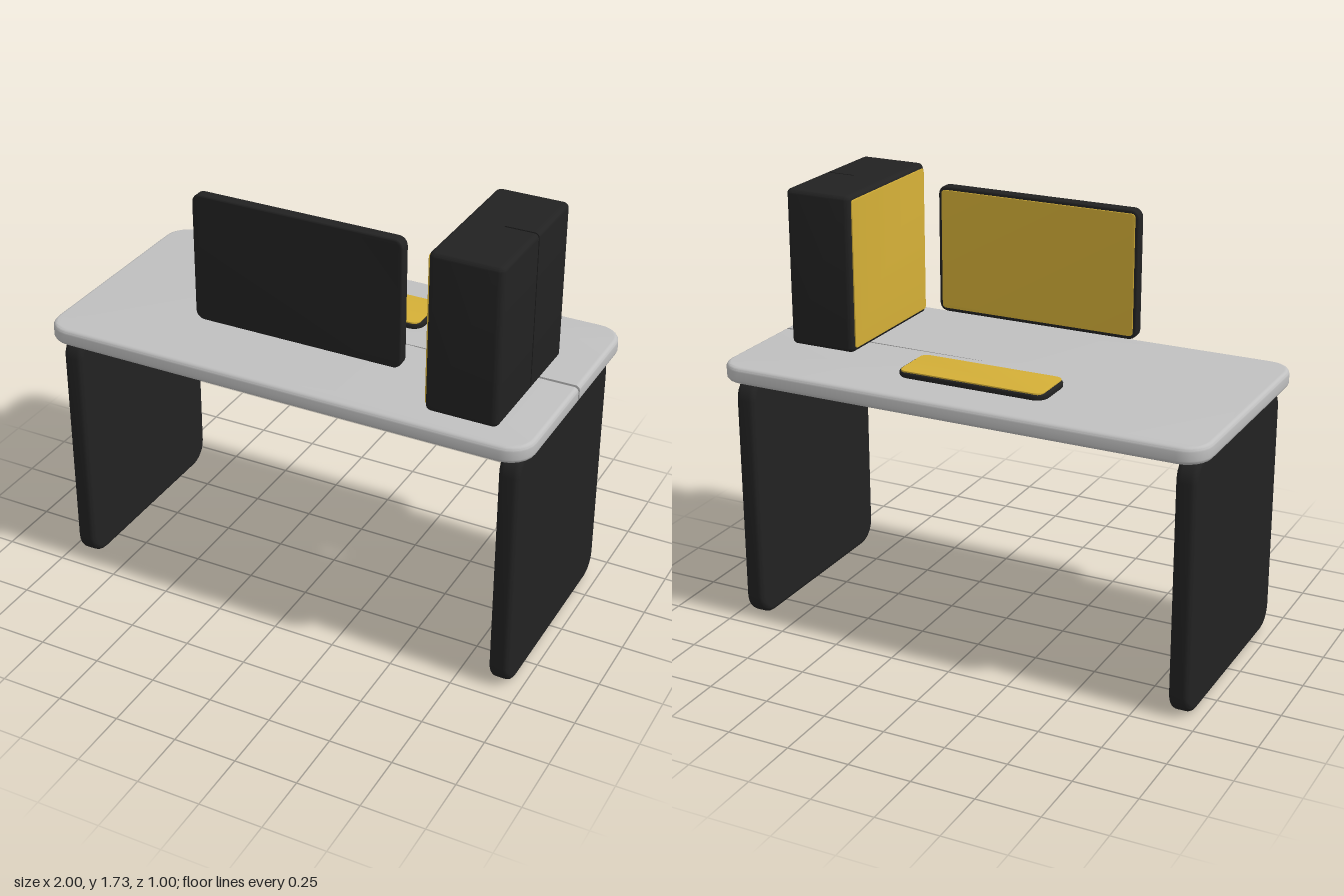
import * as THREE from 'three';
import { toCreasedNormals } from 'three/addons/utils/BufferGeometryUtils.js';

const charcoal = new THREE.MeshStandardMaterial({ color: 0x222222 });
charcoal.name = 'charcoal';
const silver = new THREE.MeshStandardMaterial({ color: 0xc0c0c0 });
silver.name = 'silver';
const gold = new THREE.MeshStandardMaterial({ color: 0xd4af37 });
gold.name = 'gold';

// Rounded rectangle outline, counter-clockwise, with an optional slit in its +x side
function outline(w, h, r, inset, slit) {
  const pts = [];
  const corner = (cx, cy, start) => {
    for (let i = 0; i <= 6; i++) {
      const a = start + (i / 6) * Math.PI / 2;
      pts.push(new THREE.Vector2(cx + (r - inset) * Math.cos(a), cy + (r - inset) * Math.sin(a)));
    }
  };
  const x = w / 2 - r, y = h / 2 - r;
  corner(x, -y, -Math.PI / 2);
  if (slit) {
    const edge = w / 2 - inset;
    pts.push(
      new THREE.Vector2(edge, slit.at - slit.outer),
      new THREE.Vector2(slit.end, slit.at - slit.inner),
      new THREE.Vector2(slit.end, slit.at + slit.inner),
      new THREE.Vector2(edge, slit.at + slit.outer));
  }
  corner(x, y, 0);
  corner(-x, y, Math.PI / 2);
  corner(-x, -y, Math.PI);
  return pts;
}

// Slab with rounded corners and rounded rims, thick along z
function slab(w, h, thick, r, bevel, slit) {
  const half = [];
  const steps = 5;
  half.push([bevel + 0.003, -thick / 2]);
  for (let i = 0; i <= steps; i++) {
    const a = (i / steps) * Math.PI / 2;
    half.push([bevel * (1 - Math.sin(a)), -thick / 2 + bevel * (1 - Math.cos(a))]);
  }
  const levels = [...half, ...half.map(([inset, z]) => [inset, -z]).reverse()];
  const rings = levels.map(([inset]) => outline(w, h, r, inset, slit));
  const n = rings[0].length;
  const pos = [], idx = [];
  rings.forEach((ring, k) => ring.forEach(p => pos.push(p.x, p.y, levels[k][1])));
  for (let k = 0; k < rings.length - 1; k++) {
    for (let i = 0; i < n; i++) {
      const a = k * n + i, b = k * n + (i + 1) % n;
      idx.push(a, b, b + n, a, b + n, a + n);
    }
  }
  const top = (rings.length - 1) * n;
  for (const [a, b, c] of THREE.ShapeUtils.triangulateShape(rings[0], [])) {
    idx.push(a, c, b, top + a, top + b, top + c);
  }
  const g = new THREE.BufferGeometry();
  g.setAttribute('position', new THREE.Float32BufferAttribute(pos, 3));
  g.setIndex(idx);
  return toCreasedNormals(g, 0.4);
}

export function createModel() {
  const model = new THREE.Group();
  model.name = 'computerDesk';

  const add = (name, geometry, material, x, y, z) => {
    const mesh = new THREE.Mesh(geometry, material);
    mesh.name = name;
    mesh.position.set(x, y, z);
    model.add(mesh);
    return mesh;
  };
  const flat = g => g.rotateX(-Math.PI / 2);
  const sideways = g => g.rotateY(Math.PI / 2);

  // Table top with a tapering slit running in from its left end
  const deskSlit = { at: 0.008, end: 0.1, outer: 0.007, inner: 0.001 };
  add('tableTop', flat(slab(1.995, 0.995, 0.068, 0.1, 0.018, deskSlit)), silver, 0, 1.06, 0);

  // Panel legs
  for (const side of [-1, 1]) {
    add(side > 0 ? 'leftLeg' : 'rightLeg',
      sideways(slab(0.88, 1.022, 0.082, 0.09, 0.022)), charcoal, side * 0.915, 0.515, 0);
  }

  // Monitor, its screen facing the seat at the back
  add('monitor', slab(0.855, 0.515, 0.046, 0.035, 0.008), charcoal, 0, 1.432, 0.282);
  add('screen', slab(0.825, 0.485, 0.006, 0.015, 0.001), gold, 0, 1.432, 0.258);

  // Keyboard
  add('keyboard', flat(slab(0.62, 0.21, 0.024, 0.05, 0.008)), charcoal, 0, 1.109, -0.217);
  add('keys', flat(slab(0.595, 0.2, 0.008, 0.03, 0.001)), gold, 0, 1.122, -0.217);

  // Computer tower with a slit in the outer side and a gold strip deep inside it
  const caseSlit = { at: 0.005, end: 0.01, outer: 0.004, inner: 0.004 };
  add('tower', flat(slab(0.282, 0.6, 0.625, 0.025, 0.018, caseSlit)), charcoal, 0.713, 1.417, 0.115);
  add('slitStrip', new THREE.BoxGeometry(0.004, 0.55, 0.0078), gold, 0.724, 1.415, 0.11);
  add('sidePanel', sideways(slab(0.565, 0.59, 0.006, 0.012, 0.001)), gold, 0.571, 1.417, 0.115);

  return model;
}
